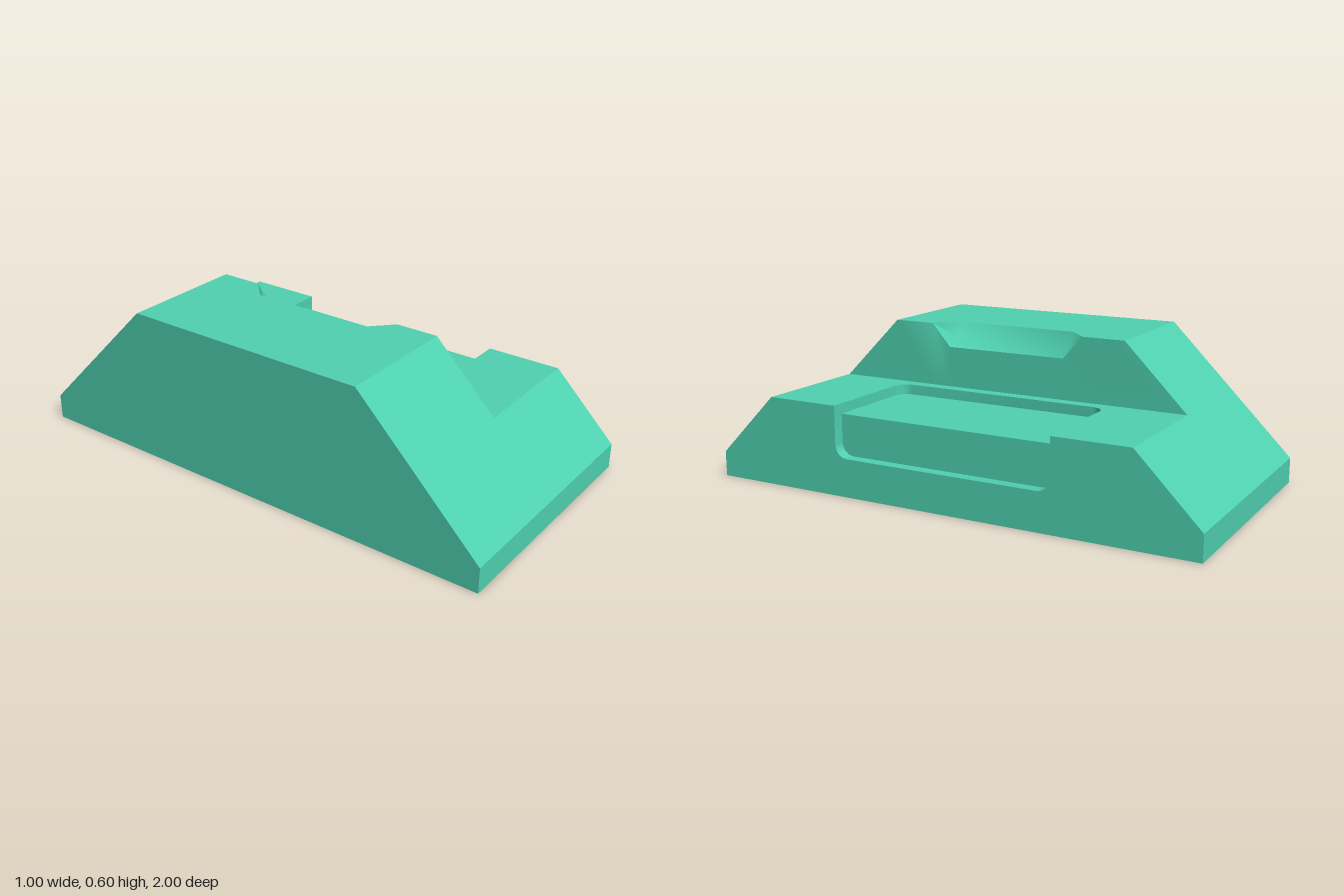
import * as THREE from 'three';
import { toCreasedNormals } from 'three/addons/utils/BufferGeometryUtils.js';

export function createModel() {
  const group = new THREE.Group();
  const material = new THREE.MeshStandardMaterial({ color: 0x4fd1b0, side: THREE.DoubleSide });

  function add(name, geometry) {
    const mesh = new THREE.Mesh(geometry, material);
    mesh.name = name;
    group.add(mesh);
  }

  // Flat panel: a 2D outline placed in space by a mapping rule
  function panel(name, points, place) {
    const geo = new THREE.ShapeGeometry(new THREE.Shape(points.map(([u, v]) => new THREE.Vector2(u, v))));
    const pos = geo.attributes.position;
    for (let i = 0; i < pos.count; i++) pos.setXYZ(i, ...place(pos.getX(i), pos.getY(i)));
    geo.computeVertexNormals();
    add(name, geo);
  }

  // Skin stretched over rows of points
  function loft(name, rows) {
    const n = rows[0].length, index = [];
    for (let i = 0; i < rows.length - 1; i++) {
      for (let j = 0; j < n - 1; j++) {
        const a = i * n + j, b = a + n;
        index.push(a, b, a + 1, b, b + 1, a + 1);
      }
    }
    const geo = new THREE.BufferGeometry();
    geo.setAttribute('position', new THREE.Float32BufferAttribute(rows.flat(2), 3));
    geo.setIndex(index);
    add(name, toCreasedNormals(geo, 0.9));
  }

  // Open notch outline with rounded far corners, as [depth, across] pairs
  function notch(open, far, r = 0.05, half = 0.45, steps = 6) {
    const side = [[open, -half]];
    for (let i = 0; i <= steps; i++) {
      const t = (i / steps) * Math.PI / 2;
      side.push([far + r - r * Math.sin(t), -half + r - r * Math.cos(t)]);
    }
    return [...side, ...side.map(([a, b]) => [a, -b]).reverse()];
  }
  const swap = (points) => points.map(([a, b]) => [b, a]);

  // Front and back: low upright lip and stepped 45 degree slope
  for (const s of [1, -1]) {
    const end = s > 0 ? 'front' : 'back';
    panel(end + 'Lip', [[-0.5, 0], [0.5, 0], [0.5, 0.1], [-0.5, 0.1]], (u, v) => [s * u, v, s]);
    const slope = [[-0.5, 0.1], [0.5, 0.1], [0.5, 0.35], [0, 0.35], [0, 0.6], [-0.5, 0.6]];
    panel(end + 'Slope', slope.map(([x, y]) => [s * x, y]), (u, v) => [s * u, v, s * (1.1 - v)]);
  }

  // Tall side wall
  panel('tallSide', [[-1, 0], [1, 0], [1, 0.1], [0.5, 0.6], [-0.5, 0.6], [-1, 0.1]],
    (u, v) => [-0.5, v, u]);

  // Low side wall and low deck, both cut by the recess
  panel('lowSide', [[-1, 0], [1, 0], [1, 0.1], [0.75, 0.35], ...swap(notch(0.35, 0.15)).reverse(),
    [-0.75, 0.35], [-1, 0.1]], (u, v) => [0.5, v, -u]);
  panel('lowDeck', [[0, 0.75], [0, -0.75], [0.5, -0.75], ...notch(0.5, 0.05), [0.5, 0.75]],
    (u, v) => [u, 0.35, -v]);

  // Recessed panel wrapping over the edge, with its rim
  panel('recessTop', notch(0.455, 0.05), (u, v) => [u, 0.31, -v]);
  panel('recessSide', swap(notch(0.31, 0.15)), (u, v) => [0.455, v, -u]);
  loft('recessTopRim', [0.31, 0.35].map((y) => notch(0.455, 0.05).map(([x, z]) => [x, y, z])));
  loft('recessSideRim', [0.5, 0.455].map((x) => notch(0.35, 0.15).map(([y, z]) => [x, y, z])));

  // High deck and step wall, with a shallow scoop in the shared edge
  const stations = [[-0.5, 0], [-0.33, 0], [-0.25, 1], [0.25, 1], [0.33, 0], [0.5, 0]];
  loft('highDeckAndStep', stations.map(([z, k]) => [
    [-0.5, 0.6, z],
    [-0.085 * k, 0.6, z],
    [-0.05 * k, 0.6 - 0.052 * k, z],
    [0, 0.6 - 0.09 * k, z],
    [0, 0.35, Math.abs(z) === 0.5 ? z * 1.5 : z],
  ]));

  return group;
}
